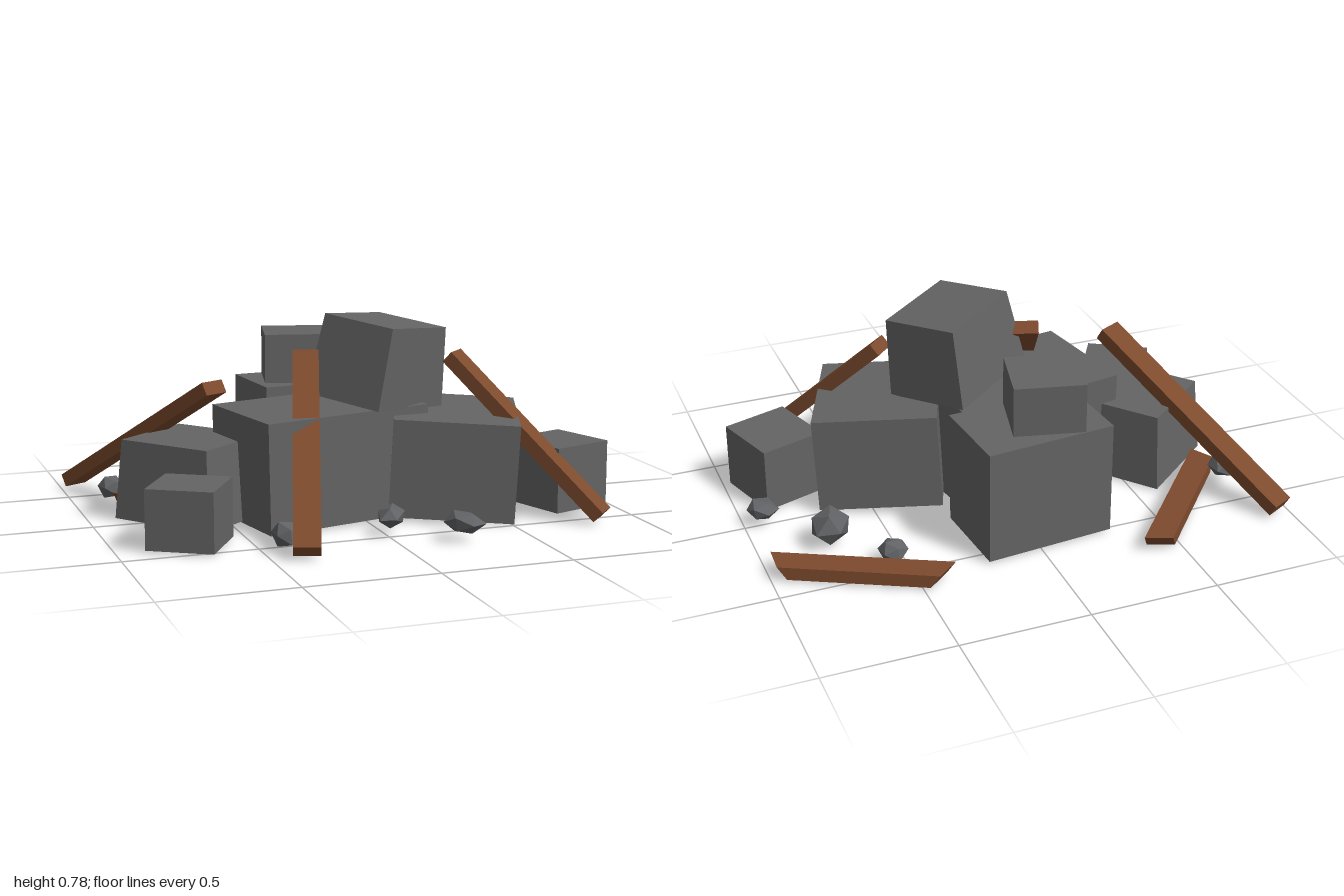
import * as THREE from 'three';

const stone = new THREE.MeshStandardMaterial({ color: 0x646464 });
stone.name = 'stone';
const pebble = new THREE.MeshStandardMaterial({ color: 0x606265 });
pebble.name = 'pebble stone';
const wood = new THREE.MeshStandardMaterial({ color: 0x7d4a2d });
wood.name = 'wood';
for (const m of [stone, pebble, wood]) m.flatShading = true;

// Move every vertex of a geometry by a rule
function reshape(geometry, rule) {
  const p = geometry.attributes.position;
  const v = new THREE.Vector3();
  for (let i = 0; i < p.count; i++) {
    v.fromBufferAttribute(p, i);
    rule(v);
    p.setXYZ(i, v.x, v.y, v.z);
  }
  geometry.computeVertexNormals();
  return geometry;
}

// Stone block standing on its base centre, narrower at the top
function block(name, base, size, turn, top = [0.9, 0.9], tilt = [0, 0]) {
  const geometry = new THREE.BoxGeometry(...size).translate(0, size[1] / 2, 0);
  reshape(geometry, (v) => {
    if (v.y > 0) { v.x *= top[0]; v.z *= top[1]; }
  });
  const mesh = new THREE.Mesh(geometry, stone);
  mesh.name = name;
  mesh.position.set(...base);
  const rad = THREE.MathUtils.degToRad;
  mesh.rotation.set(rad(tilt[0]), rad(turn), rad(tilt[1]), 'XZY');
  return mesh;
}

// Plank between two end centres; sideCut and topCut slant its ends
function beam(name, from, to, sideCut = 0, topCut = 0) {
  const a = new THREE.Vector3(...from);
  const b = new THREE.Vector3(...to);
  const x = b.clone().sub(a);
  const length = x.length();
  x.normalize();
  const z = x.clone().cross(new THREE.Vector3(0, 1, 0)).normalize();
  const y = z.clone().cross(x);
  const geometry = new THREE.BoxGeometry(length, 0.052, 0.1);
  reshape(geometry, (v) => {
    v.x += Math.sign(v.x) * (Math.sign(v.z) * sideCut + Math.sign(v.y) * topCut);
  });
  geometry.applyMatrix4(new THREE.Matrix4().makeBasis(x, y, z));
  const mesh = new THREE.Mesh(geometry, wood);
  mesh.name = name;
  mesh.position.copy(a).add(b).multiplyScalar(0.5);
  return mesh;
}

// Faceted pebble, made uneven by a smooth rule
function rock(i, position, size) {
  const geometry = reshape(new THREE.IcosahedronGeometry(1, 0), (v) => {
    v.multiplyScalar(1 + 0.13 * Math.sin(5 * v.x + 3 * v.y + 4 * v.z + i * 2));
  });
  const mesh = new THREE.Mesh(geometry, pebble);
  mesh.name = 'pebble' + (i + 1);
  mesh.position.set(...position);
  mesh.scale.set(...size);
  mesh.rotation.y = i * 1.1;
  return mesh;
}

export function createModel() {
  const model = new THREE.Group();
  model.name = 'rubblePile';

  // Stone blocks
  model.add(
    block('middleBlock', [-0.118, 0.015, 0.07], [0.73, 0.42, 0.51], 10.6, [0.94, 0.92], [0, 1]),
    block('frontLeftBlock', [0.385, 0.025, 0.155], [0.53, 0.38, 0.58], -21.5, [0.9, 0.9], [2.5, -2]),
    block('crownBlock', [0.09, 0.445, 0.0925], [0.43, 0.31, 0.345], 34, [0.84, 0.92], [2, -8]),
    block('backBlock', [-0.022, 0.015, -0.376], [0.587, 0.45, 0.385], 5, [0.87, 0.89]),
    block('backUpperBlock', [-0.076, 0.42, -0.373], [0.3, 0.24, 0.29], -13.5),
    block('rightBlock', [-0.605, 0.015, -0.03], [0.4, 0.305, 0.44], 39),
    block('smallRightBlock', [-0.722, 0.015, 0.375], [0.283, 0.225, 0.282], -31),
    block('smallLeftBlock', [0.805, 0.015, 0.25], [0.293, 0.255, 0.305], 18)
  );

  // Wooden beams leaning on the blocks and lying on the ground
  model.add(
    beam('rightLeaningBeam', [-0.95, 0.045, -0.66], [-0.55, 0.53, 0.1]),
    beam('frontLeaningBeam', [-0.385, 0.04, 0.705], [-0.175, 0.63, 0.05]),
    beam('leftLeaningBeam', [0.83, 0.04, 0.58], [0.39, 0.61, 0.145]),
    beam('backRightGroundBeam', [-0.83, 0.043, -0.23], [-0.41, 0.043, -0.71], 0.018, 0.018),
    beam('backLeftGroundBeam', [0.42, 0.043, -0.625], [0.96, 0.043, -0.35], 0.022, 0.018)
  );

  // Scattered pebbles
  const pebbles = [
    [[-0.415, 0.075, 0.565], [0.06, 0.05, 0.065]],
    [[0.02, 0.075, 0.465], [0.075, 0.042, 0.055]],
    [[0.235, 0.075, 0.64], [0.08, 0.048, 0.06]],
    [[0.55, 0.075, -0.44], [0.06, 0.045, 0.058]],
    [[0.725, 0.09, -0.225], [0.08, 0.068, 0.08]],
    [[0.93, 0.072, 0.005], [0.062, 0.045, 0.055]],
    [[-0.86, 0.08, -0.34], [0.055, 0.05, 0.06]]
  ];
  pebbles.forEach(([position, size], i) => model.add(rock(i, position, size)));

  return model;
}
